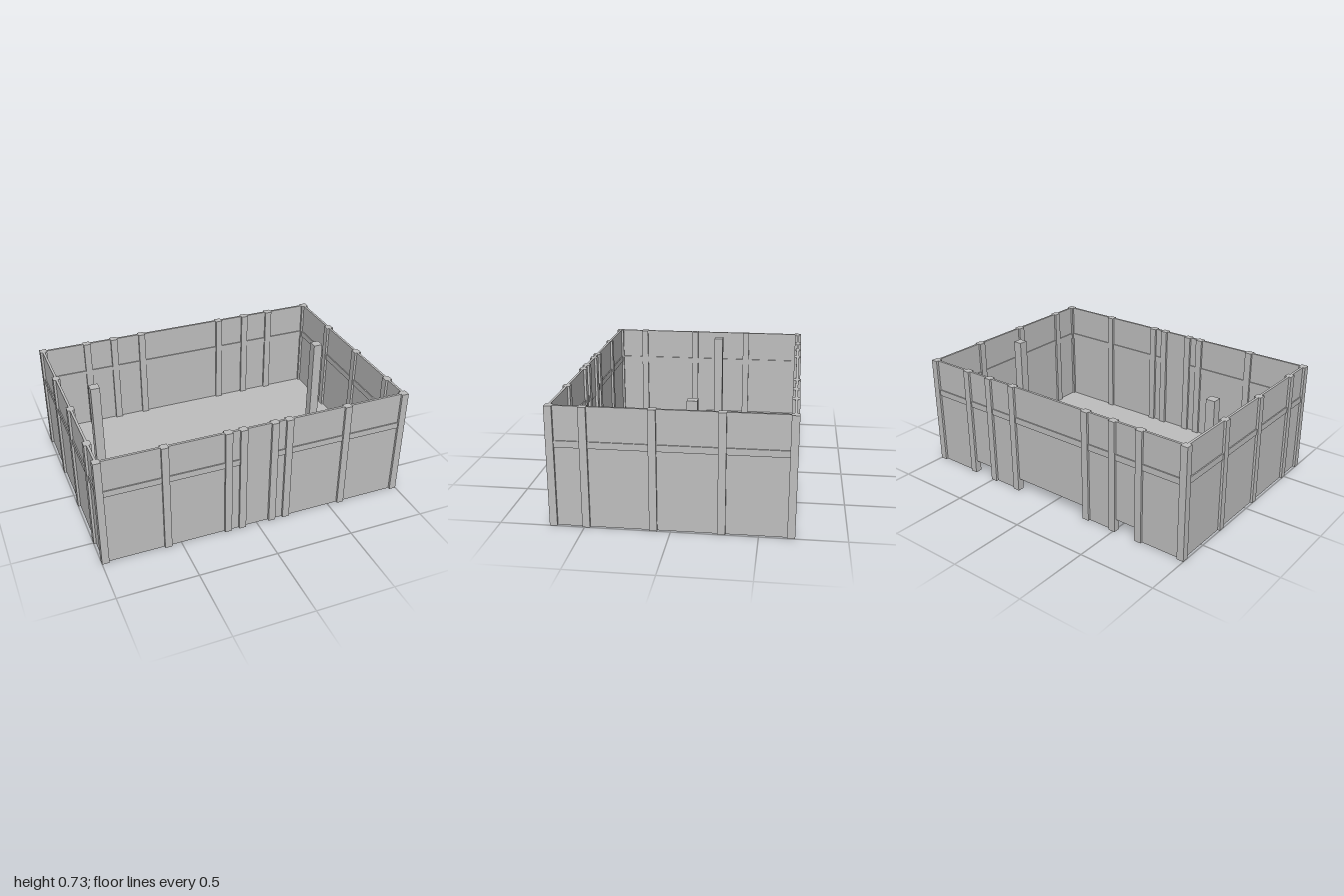
import * as THREE from 'three';

const X = 1, Z = 0.705, H = 0.725; // outer half sizes and wall height
const POST = 0.045;

export function createModel() {
  const model = new THREE.Group();
  const grey = new THREE.MeshStandardMaterial({ color: 0xbfbfbf });
  grey.name = 'plain grey';

  // Box given by its lower and upper limits on each axis
  const box = (parent, name, x0, x1, y0, y1, z0, z1) => {
    const m = new THREE.Mesh(new THREE.BoxGeometry(x1 - x0, y1 - y0, z1 - z0), grey);
    m.name = name;
    m.position.set((x0 + x1) / 2, (y0 + y1) / 2, (z0 + z1) / 2);
    parent.add(m);
    return m;
  };

  // A wall is built along local x with its outside towards local +z.
  // bays: [from, to, panel bottom, has beam]
  const wall = (name, outer, rotation, posts, bays) => {
    const g = new THREE.Group();
    g.name = name;
    g.rotation.y = rotation;
    for (const p of posts) {
      box(g, 'wallPost', p - POST / 2, p + POST / 2, 0, H, outer - POST, outer);
    }
    for (const [a, b, bottom, beam] of bays) {
      box(g, 'wallPanel', a, b, bottom, H, outer - 0.03, outer - 0.015);
      if (beam) box(g, 'wallBeam', a, b, 0.48, 0.52, outer - 0.037, outer - 0.008);
    }
    model.add(g);
    return g;
  };

  // Front wall with a closed doorway in the middle
  const front = wall('frontWall', Z, 0, [-0.585, -0.195, -0.1, 0.1, 0.195, 0.585], [
    [-0.98, -0.1, 0, true],
    [-0.1, 0.1, 0.46, false],
    [0.1, 0.98, 0, true],
  ]);
  box(front, 'door', -0.1, 0.1, 0, 0.46, Z - 0.027, Z - 0.018);

  // Back wall, with gaps at the foot of three bays
  const sill = 0.08;
  wall('backWall', Z, Math.PI, [-0.68, -0.49, -0.29, 0.29, 0.49, 0.68], [
    [-0.98, -0.68, 0, true],
    [-0.68, -0.49, sill, true],
    [-0.49, -0.29, 0, true],
    [-0.29, 0.29, sill, true],
    [0.29, 0.49, 0, true],
    [0.49, 0.68, sill, true],
    [0.68, 0.98, 0, true],
  ]);

  // Side walls
  const sidePosts = [0.49, 0.1, -0.29];
  const sideBay = [[-0.68, 0.68, 0, true]];
  wall('leftWall', X, Math.PI / 2, sidePosts.map((z) => -z), sideBay);
  wall('rightWall', X, -Math.PI / 2, sidePosts, sideBay);

  for (const s of [-1, 1]) {
    // Corner posts
    for (const t of [-1, 1]) {
      const p = box(model, 'cornerPost', -POST / 2, POST / 2, 0, H, -POST / 2, POST / 2);
      p.position.x = s * (X - POST / 2);
      p.position.z = t * (Z - POST / 2);
    }
    // Free-standing columns
    const c = box(model, 'column', -0.03, 0.03, 0, H, -0.13, -0.07);
    c.position.x = s * 0.78;
  }

  // Low front floor, riser, raised back floor and the step up to it
  box(model, 'frontFloor', -0.975, 0.975, 0, 0.015, 0, 0.68);
  box(model, 'floorRiser', -0.975, 0.975, 0, 0.08, 0, 0.01);
  box(model, 'backFloor', -0.975, 0.975, 0.08, 0.1, -0.68, 0.01);
  box(model, 'step', -0.29, 0.29, 0.015, 0.055, 0.01, 0.1);

  return model;
}
